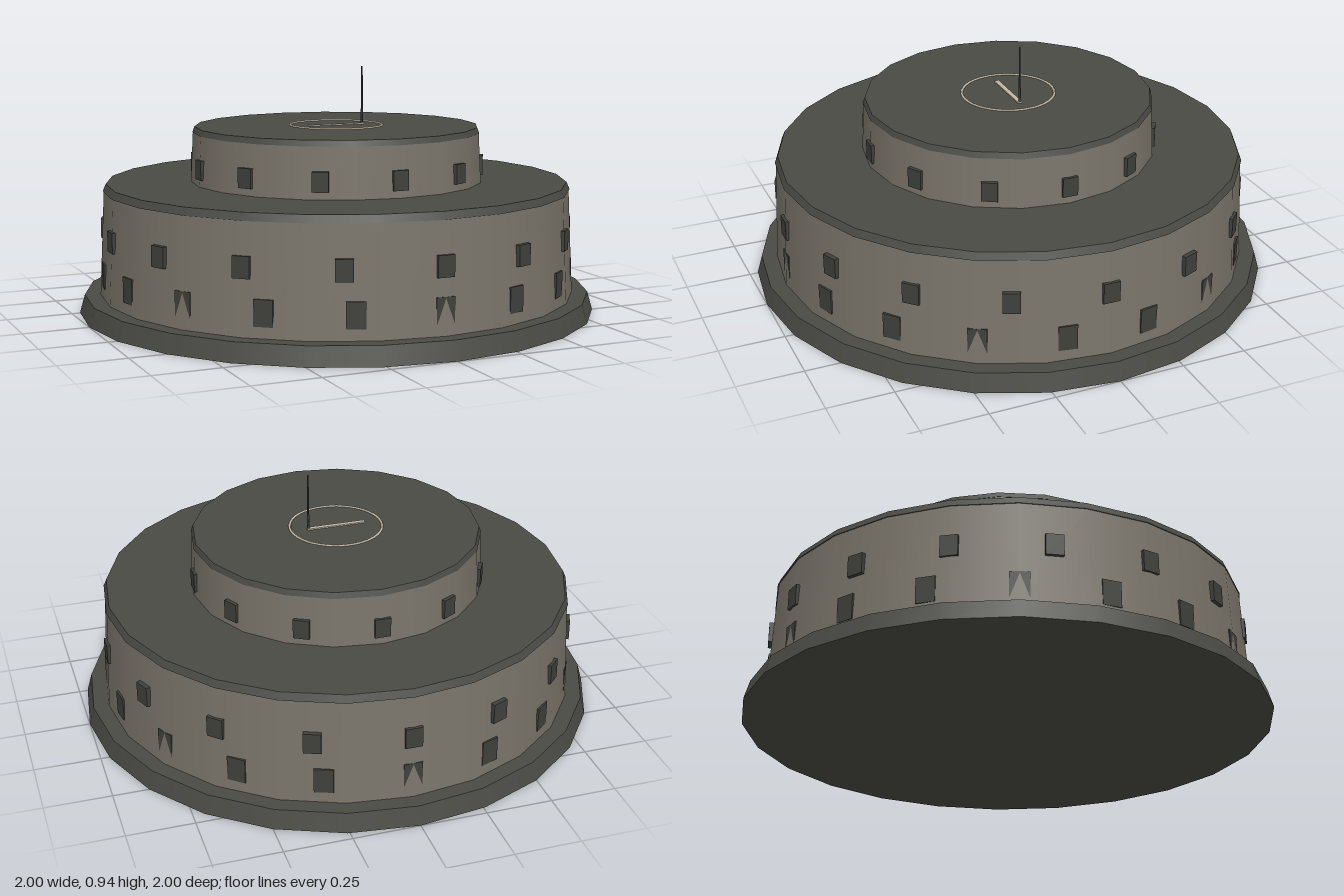
import * as THREE from 'three';

const paint = (name, color) => {
  const m = new THREE.MeshStandardMaterial({ color });
  m.name = name;
  return m;
};

export function createModel() {
  const stone = paint('stone', 0x7a756b);
  const roof = paint('roofGrey', 0x4a4a45);
  const glass = paint('darkGlass', 0x40403b);
  const marking = paint('paleMarking', 0xc4b8a4);
  const metal = paint('mastMetal', 0x3c3c40);

  const model = new THREE.Group();
  model.name = 'roundBuilding';

  const add = (name, geometry, material, x = 0, y = 0, z = 0, parent = model) => {
    const mesh = new THREE.Mesh(geometry, material);
    mesh.name = name;
    mesh.position.set(x, y, z);
    parent.add(mesh);
    return mesh;
  };

  // Tapered round tier standing between heights y0 and y1
  const tier = (name, material, rBottom, rTop, y0, y1, sides) =>
    add(name, new THREE.CylinderGeometry(rTop, rBottom, y1 - y0, sides), material, 0, (y0 + y1) / 2);

  // Ring of evenly spaced windows whose outer faces lie at radius r
  const windowRing = (name, count, r, y, width, height) => {
    const ring = new THREE.Group();
    ring.name = name;
    const depth = 0.03;
    const pane = new THREE.BoxGeometry(width, height, depth);
    for (let i = 0; i < count; i++) {
      const a = (i / count) * Math.PI * 2;
      const mesh = add('window', pane, glass, Math.sin(a) * (r - depth / 2), y, Math.cos(a) * (r - depth / 2), ring);
      mesh.rotation.y = a;
    }
    model.add(ring);
  };

  // Plinth, lower drum and upper drum, each drum capped by a roof rim
  tier('plinth', roof, 1, 0.98, 0, 0.07, 24);
  tier('lowerWall', stone, 0.92, 0.9, 0.07, 0.472, 24);
  tier('lowerRoof', roof, 0.904, 0.892, 0.47, 0.498, 24);
  tier('upperWall', stone, 0.566, 0.556, 0.498, 0.692, 20);
  tier('upperRoof', roof, 0.558, 0.55, 0.688, 0.71, 20);

  windowRing('groundWindows', 18, 0.9135, 0.158, 0.07, 0.095);
  windowRing('middleWindows', 16, 0.916, 0.312, 0.064, 0.078);
  windowRing('upperWindows', 12, 0.569, 0.562, 0.06, 0.074);

  // Landing circle and bar painted on the top roof
  const circle = add('landingCircle', new THREE.TorusGeometry(0.178, 0.005, 6, 40), marking, 0, 0.711, 0);
  circle.rotation.x = Math.PI / 2;
  add('landingBar', new THREE.BoxGeometry(0.23, 0.006, 0.018), marking, 0, 0.712, 0);

  // Antenna mast with a thicker foot
  add('mast', new THREE.CylinderGeometry(0.003, 0.004, 0.225, 6), metal, 0.11, 0.8225, 0);
  add('mastFoot', new THREE.CylinderGeometry(0.005, 0.005, 0.06, 6), metal, 0.11, 0.74, 0);

  return model;
}
